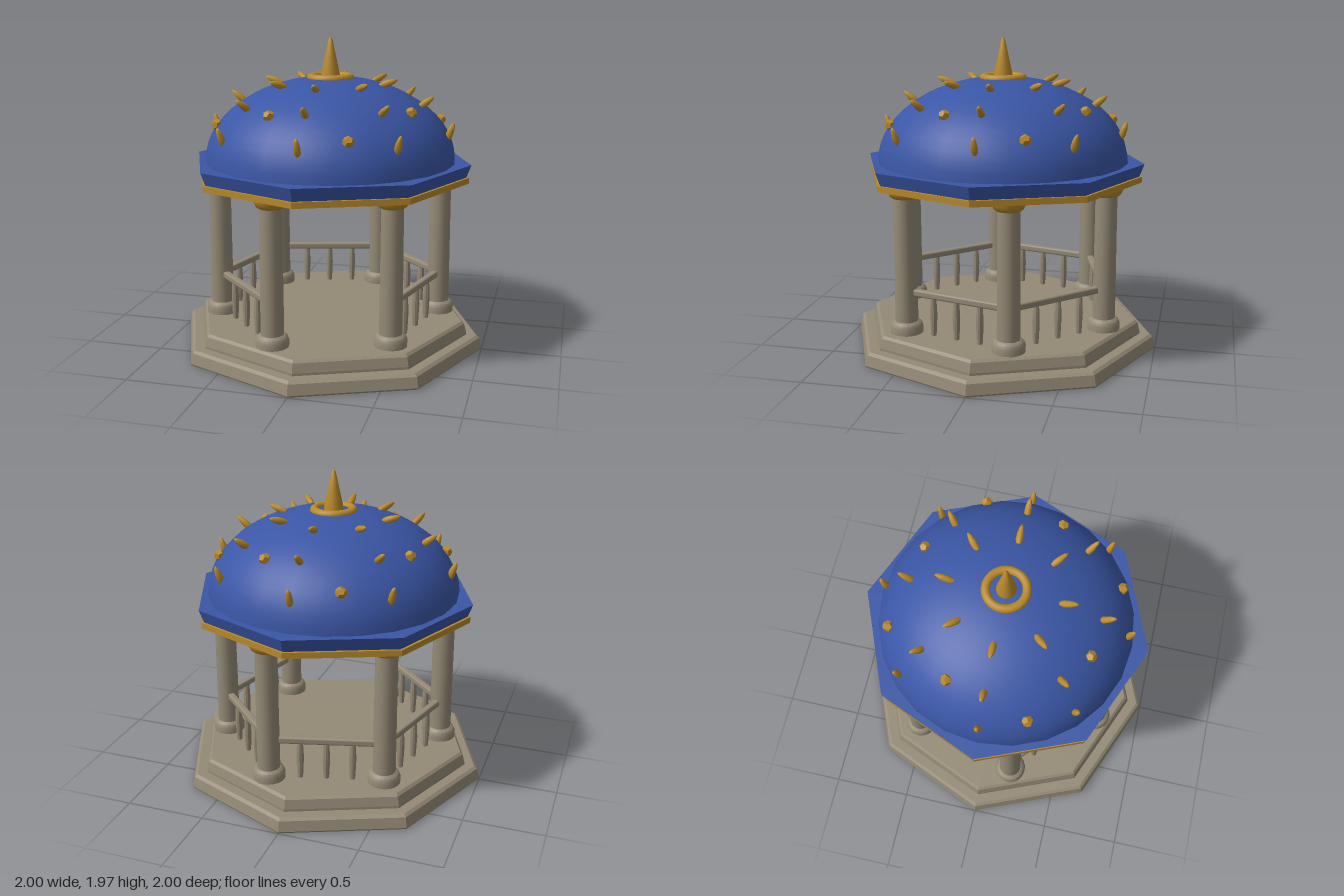
import * as THREE from 'three';
import { RoundedBoxGeometry } from 'three/addons/geometries/RoundedBoxGeometry.js';
import { toCreasedNormals } from 'three/addons/utils/BufferGeometryUtils.js';

const mat = (name, color) => {
  const m = new THREE.MeshStandardMaterial({ color });
  m.name = name;
  return m;
};

export function createModel() {
  const stone = mat('stone', 0x948a76);
  const blue = mat('roofBlue', 0x3a56a5);
  const gold = mat('gold', 0xb8892a);
  const model = new THREE.Group();
  model.name = 'pavilion';

  const add = (parent, name, geometry, material, x = 0, y = 0, z = 0) => {
    const mesh = new THREE.Mesh(geometry, material);
    mesh.name = name;
    mesh.position.set(x, y, z);
    parent.add(mesh);
    return mesh;
  };
  const group = (name, parent = model) => {
    const g = new THREE.Group();
    g.name = name;
    parent.add(g);
    return g;
  };
  // Turned profile, given bottom to top as [radius, height]
  const turned = (points, sides, crease = 0.6) => toCreasedNormals(
    new THREE.LatheGeometry(points.map(([r, y]) => new THREE.Vector2(r, y)), sides), crease);
  // Faceted octagon with its corners on the x and z axes
  const octagon = (points) => turned(points, 8, 0.1);

  // Stepped base
  add(model, 'lowerStep', octagon([[0, 0], [0.995, 0], [1, 0.01], [0.985, 0.075], [0.965, 0.09], [0, 0.09]]), stone);
  add(model, 'upperStep', octagon([[0, 0.085], [0.9, 0.085], [0.9, 0.105], [0.885, 0.162], [0.868, 0.177], [0, 0.177]]), stone);

  // Six columns
  const R = 0.71;
  const footGeo = turned([[0, 0.17], [0.1, 0.17], [0.102, 0.215], [0.092, 0.24], [0.075, 0.252], [0, 0.252]], 20);
  const shaftGeo = new THREE.CylinderGeometry(0.067, 0.071, 0.84, 20, 1, true);
  const capitalGeo = turned([[0, 1.03], [0.072, 1.03], [0.088, 1.042], [0.102, 1.07], [0.105, 1.09], [0, 1.09]], 20);
  const spot = (i) => {
    const a = Math.PI / 4 + i * Math.PI / 3;
    return new THREE.Vector3(R * Math.cos(a), 0, R * Math.sin(a));
  };
  for (let i = 0; i < 6; i++) {
    const column = group('column');
    column.position.copy(spot(i));
    add(column, 'columnFoot', footGeo, stone);
    add(column, 'columnShaft', shaftGeo, stone, 0, 0.64, 0);
    add(column, 'columnCapital', capitalGeo, gold);
  }

  // Railings on five sides, leaving the entrance open
  const railGeo = new RoundedBoxGeometry(0.61, 0.044, 0.044, 2, 0.012);
  const balusterGeo = turned([[0, 0.185], [0.017, 0.185], [0.02, 0.23], [0.024, 0.32], [0.02, 0.4], [0.017, 0.43]], 10);
  for (let i = 1; i < 6; i++) {
    const a = spot(i), b = spot(i + 1);
    const railing = group('railing');
    railing.position.copy(a).add(b).multiplyScalar(0.5);
    railing.rotation.y = -Math.atan2(b.z - a.z, b.x - a.x);
    add(railing, 'handrail', railGeo, stone, 0, 0.44, 0);
    for (const x of [-0.161, 0, 0.161]) add(railing, 'baluster', balusterGeo, stone, x, 0, 0);
  }

  // Ceiling plate, eaves and dome
  add(model, 'ceilingPlate', octagon([[0, 1.083], [0.885, 1.083], [0.885, 1.12], [0, 1.12]]), gold);
  add(model, 'eaves', octagon([[0, 1.12], [0.868, 1.12], [0.898, 1.2], [0, 1.2]]), blue);
  const domeProfile = [];
  for (let i = 0; i <= 14; i++) {
    const t = i / 14 * Math.PI / 2;
    domeProfile.push(new THREE.Vector2(0.795 * Math.cos(t), 1.195 + 0.53 * Math.sin(t)));
  }
  domeProfile[14].x = 0;
  add(model, 'dome', new THREE.LatheGeometry(domeProfile, 24), blue);

  // Crown ring and finial
  const ring = add(model, 'crownRing', new THREE.TorusGeometry(0.12, 0.028, 10, 32), gold, 0, 1.715, 0);
  ring.rotation.x = Math.PI / 2;
  add(model, 'finial', turned([[0.062, 1.71], [0.058, 1.745], [0.035, 1.85], [0.012, 1.955], [0, 1.972]], 16), gold);

  // Dome studs: three rings of eight, leaning outward by the given rise angle
  const studGeo = turned([[0, -0.06], [0.015, -0.057], [0.022, -0.03], [0.021, 0.005], [0.014, 0.04], [0.005, 0.058], [0, 0.06]], 8, 0.9);
  const studs = group('domeStuds');
  for (const [r, y, rise] of [[0.37, 1.692, 20], [0.608, 1.58, 38], [0.762, 1.405, 70]]) {
    for (let i = 0; i < 8; i++) {
      const arm = group('studArm', studs);
      arm.rotation.y = i * Math.PI / 4;
      add(arm, 'stud', studGeo, gold, r, y, 0).rotation.z = THREE.MathUtils.degToRad(rise - 90);
    }
  }

  // Faceted knobs between the studs, alternating low and high
  const knobGeo = new THREE.DodecahedronGeometry(0.036);
  for (let i = 0; i < 8; i++) {
    const a = (i + 0.5) * Math.PI / 4;
    const [r, y] = i % 2 ? [0.715, 1.435] : [0.6, 1.545];
    add(studs, 'knob', knobGeo, gold, r * Math.cos(a), y, r * Math.sin(a)).rotation.y = -a;
  }
  return model;
}
